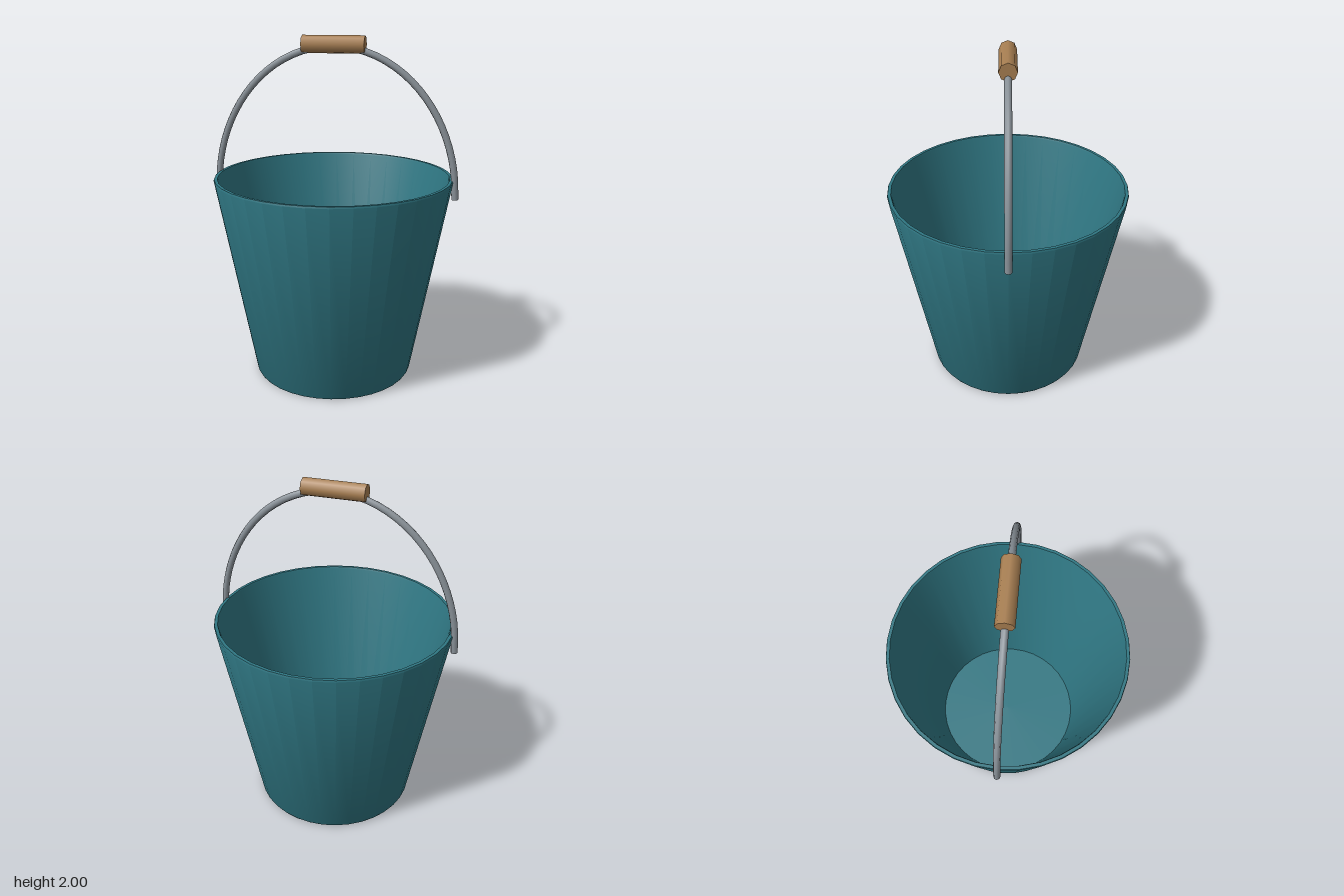
import * as THREE from 'three';
import { toCreasedNormals } from 'three/addons/utils/BufferGeometryUtils.js';

const paint = new THREE.MeshStandardMaterial({ color: 0x2f7682 });
const steel = new THREE.MeshStandardMaterial({ color: 0x8a9299 });
const wood = new THREE.MeshStandardMaterial({ color: 0xa87f52 });

function addMesh(parent, name, geometry, material) {
  const mesh = new THREE.Mesh(geometry, material);
  mesh.name = name;
  parent.add(mesh);
  return mesh;
}

export function createModel() {
  const group = new THREE.Group();
  group.name = 'bucket';

  // Tapered bucket: one closed wall profile, outside up, over the rim, inside down to the floor
  const profile = [
    [0, 0], [0.467, 0], [0.475, 0.012], [0.695, 1.19], [0.692, 1.2],
    [0.674, 1.2], [0.67, 1.19], [0.45, 0.03], [0, 0.03],
  ].map(([r, y]) => new THREE.Vector2(r, y));
  addMesh(group, 'body', toCreasedNormals(new THREE.LatheGeometry(profile, 36), 0.5), paint);

  // Wire bail: half ellipse standing over the rim
  const rx = 0.708, ry = 0.85, baseY = 1.09, wire = 0.02;
  const points = [];
  for (let i = 0; i <= 16; i++) {
    const a = Math.PI * i / 16;
    points.push(new THREE.Vector3(rx * Math.cos(a), baseY + ry * Math.sin(a), 0));
  }
  const arch = new THREE.CatmullRomCurve3(points);
  addMesh(group, 'bail', new THREE.TubeGeometry(arch, 40, wire, 8), steel);

  // Flat ends of the wire
  for (const side of [1, -1]) {
    const cap = addMesh(group, side > 0 ? 'leftBailEnd' : 'rightBailEnd', new THREE.CircleGeometry(wire, 8), steel);
    cap.rotation.x = Math.PI / 2;
    cap.position.set(side * rx, baseY, 0);
  }

  // Wooden grip on the top of the bail
  const grip = addMesh(group, 'grip', new THREE.CylinderGeometry(0.05, 0.05, 0.36, 8), wood);
  grip.rotation.z = Math.PI / 2;
  grip.position.y = 1.95;

  return group;
}
